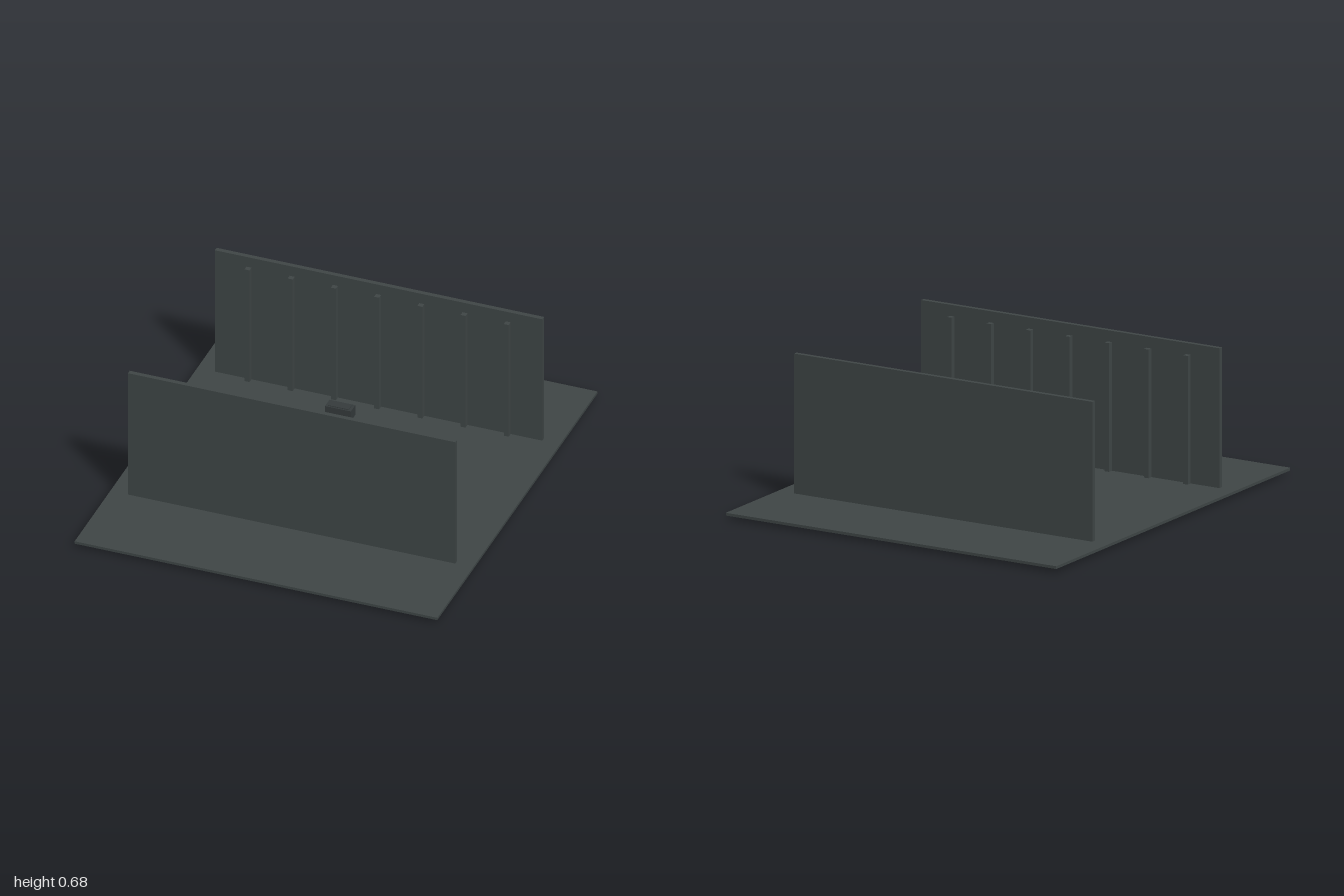
import * as THREE from 'three';

export function createModel() {
  const model = new THREE.Group();
  const mat = (name, color) => {
    const m = new THREE.MeshStandardMaterial({ color });
    m.name = name;
    return m;
  };
  const slate = mat('slate panel', 0x404747);
  const dark = mat('dark metal', 0x363c3d);

  const add = (parent, name, geo, material, x = 0, y = 0, z = 0) => {
    const mesh = new THREE.Mesh(geo, material);
    mesh.name = name;
    mesh.position.set(x, y, z);
    parent.add(mesh);
    return mesh;
  };
  const box = (w, h, d) => new THREE.BoxGeometry(w, h, d);
  // Turned shape whose axis runs along x; points are [radius, x]
  const turned = (points, segments = 20) =>
    new THREE.LatheGeometry(points.map(([r, x]) => new THREE.Vector2(r, x)), segments).rotateZ(-Math.PI / 2);
  const tube = (points, radius) => new THREE.TubeGeometry(
    new THREE.CatmullRomCurve3(points.map((p) => new THREE.Vector3(...p))), 14, radius, 6);

  // Floor plate
  add(model, 'floor', box(1.75, 0.013, 2), slate, 0, 0.0235, 0);

  // Two walls with seven inner ribs each
  for (const s of [-1, 1]) {
    const wall = new THREE.Group();
    wall.name = s > 0 ? 'frontWall' : 'backWall';
    add(wall, 'wallPanel', box(1.58, 0.664, 0.022), slate, 0, 0.35, s * 0.543);
    for (let i = -3; i <= 3; i++) {
      add(wall, 'wallRib', box(0.024, 0.63, 0.025), slate, i * 0.2085, 0.315, s * 0.52);
    }
    model.add(wall);
  }

  // Hovering machine between the walls, facing +x
  const drone = new THREE.Group();
  drone.name = 'drone';
  drone.position.y = 0.195;
  model.add(drone);

  const hull = turned([[0, -0.117], [0.62, -0.117], [0.72, -0.108], [0.86, -0.075], [0.98, -0.02],
    [1, 0.02], [0.93, 0.06], [0.78, 0.09], [0.52, 0.111], [0, 0.119]], 24);
  hull.scale(1, 0.066, 0.086);
  add(drone, 'hull', hull, dark);
  add(drone, 'noseRing', new THREE.TorusGeometry(0.03, 0.005, 8, 24).rotateY(Math.PI / 2), dark, 0.114, 0, 0);
  add(drone, 'noseLens', new THREE.SphereGeometry(0.022, 16, 10).scale(0.5, 1, 1), dark, 0.115, 0, 0);
  add(drone, 'topHatch', new THREE.CylinderGeometry(0.022, 0.028, 0.012, 16), dark, 0, 0.066, 0);

  for (const s of [-1, 1]) {
    const side = new THREE.Group();
    side.name = s > 0 ? 'rightArms' : 'leftArms';
    drone.add(side);

    // Box pod on a short pylon
    add(side, 'upperPod', box(0.125, 0.052, 0.056), dark, -0.005, 0.095, s * 0.065);
    add(side, 'upperPodCover', box(0.1, 0.06, 0.044), dark, -0.005, 0.095, s * 0.065);
    add(side, 'pylon', box(0.05, 0.04, 0.03), dark, -0.005, 0.056, s * 0.06);

    // Rounded side pod with twin barrels
    add(side, 'sidePod', turned([[0, -0.103], [0.016, -0.1], [0.024, -0.085], [0.027, -0.05],
      [0.027, 0.01], [0.024, 0.04], [0.017, 0.058], [0, 0.06]]), dark, 0, 0, s * 0.112);
    add(side, 'sideMount', box(0.05, 0.022, 0.03), dark, -0.02, 0, s * 0.088);
    for (const d of [-0.008, 0.008]) {
      add(side, 'barrel', new THREE.CylinderGeometry(0.005, 0.005, 0.09, 10).rotateZ(Math.PI / 2),
        dark, 0.085, 0, s * 0.11 + d);
    }
    add(side, 'barrelBand', box(0.012, 0.014, 0.03), dark, 0.1, 0, s * 0.11);

    // Curved strut from pod to belly
    add(side, 'strut', tube([[0, -0.02, s * 0.108], [0, -0.052, s * 0.096], [0, -0.062, s * 0.082],
      [0, -0.045, s * 0.066]], 0.005), dark);

    // One fluke of the grapple
    add(side, 'hookFluke', tube([[0, -0.155, 0], [0, -0.158, s * 0.009], [0, -0.15, s * 0.016],
      [0, -0.139, s * 0.017]], 0.0028), dark);
  }

  // Winch block, cable and grapple
  add(drone, 'winchBlock', box(0.06, 0.03, 0.044), dark, 0, -0.07, 0);
  add(drone, 'winchDrum', new THREE.CylinderGeometry(0.014, 0.014, 0.062, 16).rotateX(Math.PI / 2), dark, 0, -0.083, 0);
  add(drone, 'winchFoot', box(0.034, 0.016, 0.03), dark, 0, -0.096, 0);
  add(drone, 'cable', new THREE.CylinderGeometry(0.002, 0.002, 0.06, 8), dark, 0, -0.128, 0);
  return model;
}
